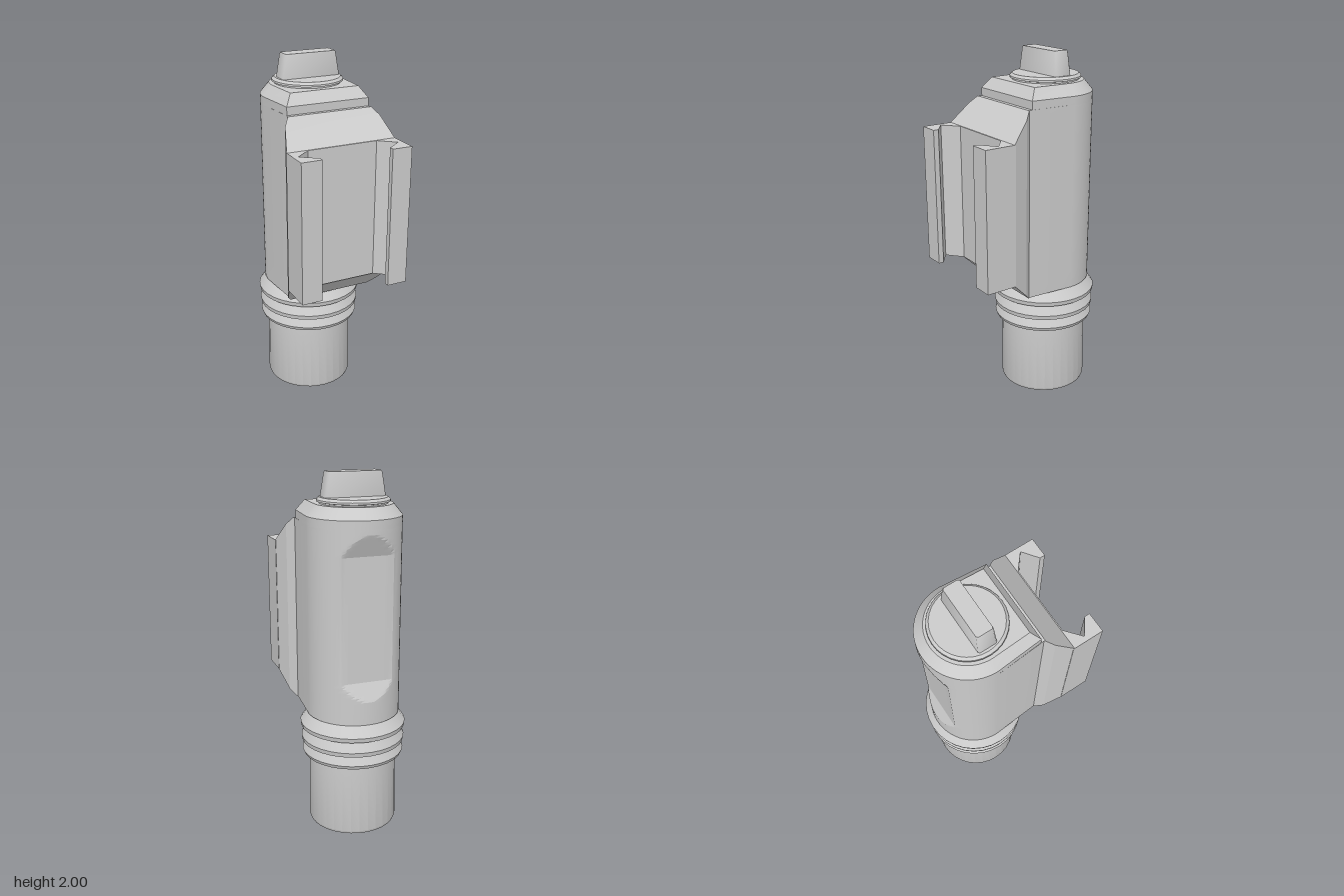
import * as THREE from 'three';
import { toCreasedNormals } from 'three/addons/utils/BufferGeometryUtils.js';

const AXIS_Z = -0.15;
const SIDES = 32;

// Skin a stack of closed rings (counter-clockwise seen from the last ring) and cap both ends
function loft(rings, crease = 0.5) {
  const n = rings[0].length, index = [];
  for (let r = 0; r < rings.length - 1; r++) {
    for (let i = 0; i < n; i++) {
      const a = r * n + i, b = r * n + (i + 1) % n;
      index.push(a, b, b + n, a, b + n, a + n);
    }
  }
  const last = (rings.length - 1) * n;
  for (let i = 1; i < n - 1; i++) {
    index.push(0, i + 1, i, last, last + i, last + i + 1);
  }
  const geometry = new THREE.BufferGeometry();
  geometry.setAttribute('position', new THREE.Float32BufferAttribute(rings.flat(2), 3));
  geometry.setIndex(index);
  return toCreasedNormals(geometry, crease);
}

// Horizontal U outline: round at the back, flat at the front
function uRing(y, radius, halfFront, frontZ, backLimit = -1) {
  const ring = [[halfFront, y, frontZ]];
  for (let i = 0; i <= SIDES; i++) {
    const a = Math.PI * i / SIDES;
    const z = AXIS_Z - radius * Math.sin(a);
    ring.push([radius * Math.cos(a), y, Math.max(z, backLimit)]);
  }
  ring.push([-halfFront, y, frontZ]);
  return ring;
}

function lathe(profile) {
  const points = profile.map(([r, y]) => new THREE.Vector2(r, y));
  const geometry = toCreasedNormals(new THREE.LatheGeometry(points, SIDES), 0.4);
  return geometry.translate(0, 0, AXIS_Z);
}

export function createModel() {
  const model = new THREE.Group();
  const material = new THREE.MeshStandardMaterial({ color: 0xcccccc });
  const add = (name, geometry) => {
    const mesh = new THREE.Mesh(geometry, material);
    mesh.name = name;
    model.add(mesh);
  };

  // Lower barrel with a shallow recess underneath
  add('barrel', lathe([
    [0, 0.03], [0.225, 0.03], [0.235, 0], [0.247, 0], [0.253, 0.015], [0.247, 0.43],
  ]));
  add('baseStud', lathe([[0, 0.015], [0.022, 0.015], [0.03, 0.03]]));

  // Three flared sealing ribs
  add('ribs', lathe([
    [0.24, 0.42], [0.282, 0.42], [0.29, 0.44], [0.265, 0.495],
    [0.29, 0.495], [0.294, 0.52], [0.265, 0.58],
    [0.295, 0.583], [0.299, 0.608], [0.255, 0.67], [0.2, 0.675],
  ]));

  // Main housing with a flat sloping-ended pocket cut into its round back
  const bodyRings = [[0.67, -1], [0.79, -1]];
  for (let i = 0; i <= 8; i++) bodyRings.push([0.8 + i * 0.0125, -0.412 + i * 0.0058]);
  for (let i = 0; i <= 8; i++) bodyRings.push([1.585 + i * 0.0145, -0.3656 - i * 0.0058]);
  bodyRings.push([1.73, -1]);
  add('housing', loft(bodyRings.map(([y, limit]) => uRing(y, 0.262, 0.24, 0.135, limit)), 0.3));

  // Chamfered cap on the housing
  add('housingCap', loft([
    uRing(1.725, 0.262, 0.24, 0.113),
    uRing(1.775, 0.262, 0.24, 0.113),
    uRing(1.835, 0.212, 0.2, 0.07),
  ], 0.4));

  // Dial and its grip
  add('dial', lathe([
    [0.185, 1.83], [0.185, 1.842], [0.198, 1.845], [0.197, 1.855], [0.183, 1.868], [0, 1.868],
  ]));
  const gripRing = (y, w, d, c) => [
    [w, -d + c], [w - c, -d], [-w + c, -d], [-w, -d + c],
    [-w, d - c], [-w + c, d], [w - c, d], [w, d - c],
  ].map(([x, z]) => [x, y, z + 0.007 + AXIS_Z]);
  add('dialGrip', loft([
    gripRing(1.86, 0.17, 0.053, 0.008),
    gripRing(1.99, 0.15, 0.047, 0.008),
    gripRing(2, 0.146, 0.045, 0.008),
  ], 0.9));

  // Wedge spreading from the housing to the mounting rail
  const rect = (z, w, y0, y1) => [[w, y0, z], [w, y1, z], [-w, y1, z], [-w, y0, z]];
  add('mountWedge', loft([
    rect(0.13, 0.24, 0.67, 1.73),
    rect(0.137, 0.246, 0.67, 1.73),
    rect(0.175, 0.278, 0.708, 1.69),
    rect(0.276, 0.315, 0.805, 1.585),
  ], 0.1));

  // Grooved rail clamp, mirrored about the centre
  const half = [[0.315, 0.27], [0.315, 0.45], [0.2, 0.45], [0.2, 0.42], [0.287, 0.355], [0.2, 0.282]];
  const outline = [...half, ...half.map(([x, z]) => [-x, z]).reverse()];
  const shape = new THREE.Shape(outline.map(([x, z]) => new THREE.Vector2(x, -z)));
  const rail = new THREE.ExtrudeGeometry(shape, { depth: 0.78, bevelEnabled: false });
  add('railClamp', rail.rotateX(-Math.PI / 2).translate(0, 0.805, 0));

  return model;
}
